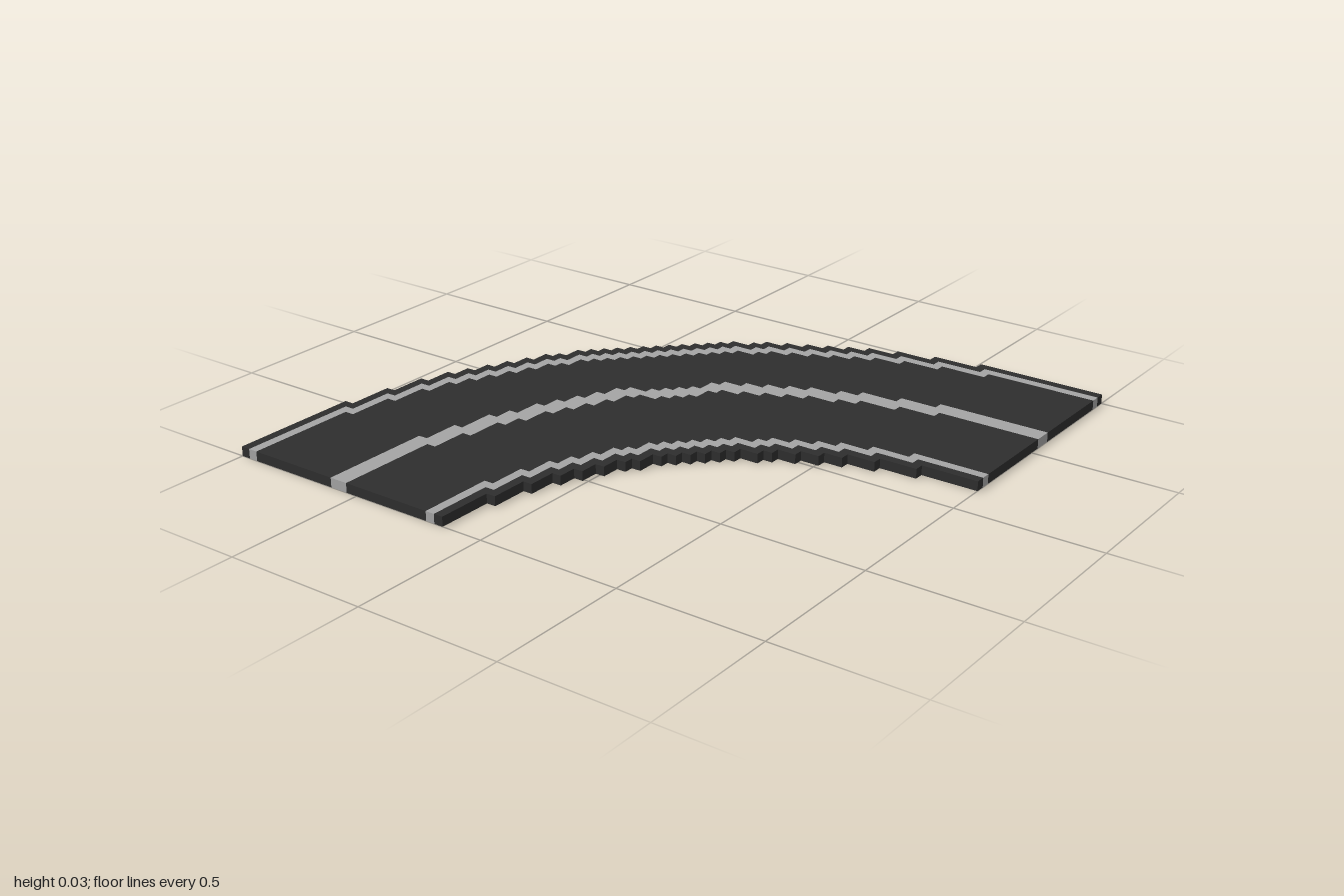
import * as THREE from 'three';
import { mergeGeometries } from 'three/addons/utils/BufferGeometryUtils.js';

const N = 61;          // cells along each side
const CELL = 2 / N;

// Stepped quarter arcs: run length of each row, from the top row down to the diagonal.
// Cells are counted from the bend's centre corner at (+x, +z).
const outerArc = { top: 60, runs: [14, 19, 23, 26, 28, 30, 32, 34, 36, 37, 39, 40, 41, 42, 43, 44] };
const middleArc = { top: 48, runs: [12, 16, 20, 22, 25, 27, 29, 31, 33, 34, 34, 35, 36] };
const innerArc = { top: 34, runs: [6, 10, 13, 15, 17, 19, 20, 22, 23, 24] };

// True when a cell lies within an arc, mirrored across the diagonal
function within(arc, a, b) {
  const i = Math.min(a, b), j = Math.max(a, b);
  if (j > arc.top) return false;
  const run = arc.runs[arc.top - j];
  return run === undefined || i < run;
}

// Which part of the road a cell belongs to
function partAt(a, b) {
  const i = Math.min(a, b), j = Math.max(a, b);
  if (!within(outerArc, i, j) || within(innerArc, i, j)) return null;
  if (within(outerArc, i + 1, j + 1) && !within(outerArc, i + 2, j + 2)) return 'outerLine';
  if (!within(innerArc, i - 1, j - 1) && within(innerArc, i - 2, j - 2)) return 'innerLine';
  if (within(middleArc, i, j) && !within(middleArc, i + 1, j + 2)) return 'centreLine';
  return 'asphalt';
}

// One box covering cells start..end-1 of row j
function runBox(start, end, j) {
  return new THREE.BoxGeometry((end - start) * CELL, CELL, CELL)
    .translate(1 - ((start + end) / 2) * CELL, CELL / 2, 1 - (j + 0.5) * CELL);
}

export function createModel() {
  const asphalt = new THREE.MeshStandardMaterial({ color: 0x2e2e2e });
  asphalt.name = 'asphalt grey';
  const paint = new THREE.MeshStandardMaterial({ color: 0xa5a5a5 });
  paint.name = 'line paint';

  // Gather each row's runs by part
  const boxes = { asphalt: [], outerLine: [], centreLine: [], innerLine: [] };
  for (let j = 0; j < N; j++) {
    let start = 0;
    for (let i = 1; i <= N; i++) {
      const part = partAt(start, j);
      if (i < N && partAt(i, j) === part) continue;
      if (part) boxes[part].push(runBox(start, i, j));
      start = i;
    }
  }

  const road = new THREE.Group();
  road.name = 'curvedRoad';
  for (const [name, list] of Object.entries(boxes)) {
    const mesh = new THREE.Mesh(mergeGeometries(list), name === 'asphalt' ? asphalt : paint);
    mesh.name = name;
    road.add(mesh);
  }
  return road;
}
